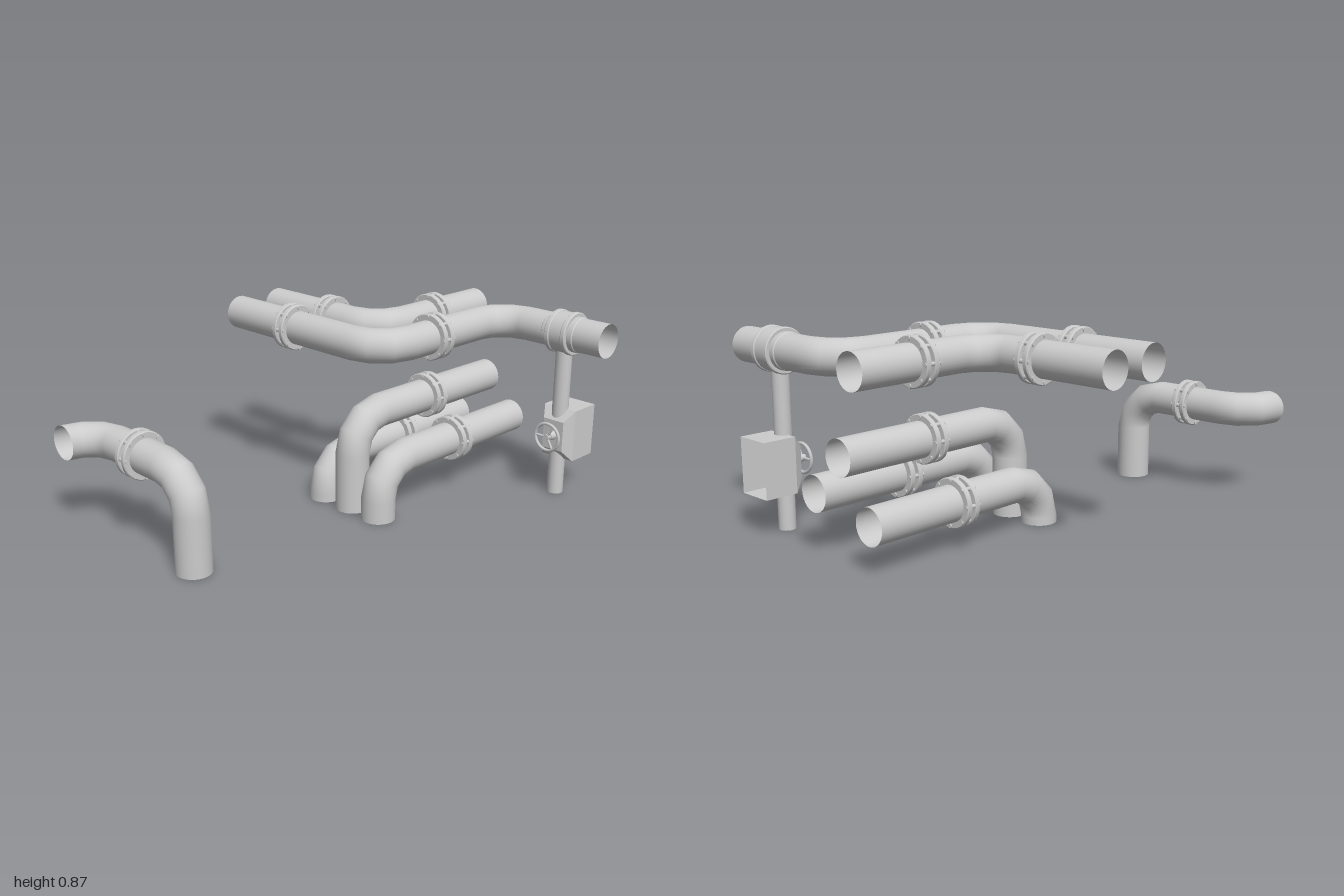
import * as THREE from 'three';

const MAT = new THREE.MeshStandardMaterial({ color: 0xcccccc, side: THREE.DoubleSide });
const R = 0.076, BEND = 0.16, SIDES = 28, BEND_STEPS = 3;
const V = (x, y, z) => new THREE.Vector3(x, y, z);

function add(parent, name, geometry, x = 0, y = 0, z = 0) {
  const mesh = new THREE.Mesh(geometry, MAT);
  mesh.name = name;
  mesh.position.set(x, y, z);
  parent.add(mesh);
  return mesh;
}

// Open pipe through corner points, each corner replaced by a coarse quarter bend
function pipeGeometry(corners) {
  const dirs = corners.slice(1).map((p, i) => p.clone().sub(corners[i]).normalize());
  const t = dirs[0].clone();
  const u = Math.abs(t.y) > 0.5 ? V(1, 0, 0) : V(0, 1, 0);
  const pos = [], nor = [], idx = [];
  let rings = 0;
  const ring = (c) => {
    const v = t.clone().cross(u);
    for (let j = 0; j <= SIDES; j++) {
      const a = (j / SIDES) * Math.PI * 2;
      const n = u.clone().multiplyScalar(Math.cos(a)).addScaledVector(v, Math.sin(a));
      pos.push(...c.clone().addScaledVector(n, R).toArray());
      nor.push(...n.toArray());
    }
    rings++;
  };
  ring(corners[0]);
  for (let k = 1; k < dirs.length; k++) {
    const axis = dirs[k - 1].clone().cross(dirs[k]).normalize();
    const centre = corners[k].clone().addScaledVector(dirs[k - 1], -BEND).addScaledVector(dirs[k], BEND);
    const step = Math.PI / 2 / BEND_STEPS;
    for (let s = 0; s <= BEND_STEPS; s++) {
      if (s > 0) {
        t.applyAxisAngle(axis, step);
        u.applyAxisAngle(axis, step);
      }
      const arm = dirs[k].clone().multiplyScalar(-BEND).applyAxisAngle(axis, s * step);
      ring(centre.clone().add(arm));
    }
  }
  ring(corners[corners.length - 1]);
  const w = SIDES + 1;
  for (let i = 0; i < rings - 1; i++) {
    for (let j = 0; j < SIDES; j++) {
      const a = i * w + j;
      idx.push(a, a + 1, a + w, a + 1, a + w + 1, a + w);
    }
  }
  const g = new THREE.BufferGeometry();
  g.setAttribute('position', new THREE.Float32BufferAttribute(pos, 3));
  g.setAttribute('normal', new THREE.Float32BufferAttribute(nor, 3));
  g.setIndex(idx);
  return g;
}

// Bevelled ring around the y axis
function discGeometry(r, h) {
  const b = 0.004, y = h / 2, inner = R - 0.002;
  const shape = new THREE.Shape([[inner, -y], [r - b, -y], [r, -y + b], [r, y - b], [r - b, y], [inner, y]]
    .map(p => new THREE.Vector2(...p)));
  const pts = shape.getPoints();
  // each band separate, so that the edges stay sharp
  return pts.slice(1).map((p, i) => new THREE.LatheGeometry([pts[i], p], 32));
}

function disc(parent, name, r, h, y) {
  discGeometry(r, h).forEach(g => add(parent, name, g, 0, y, 0));
}

// Pair of bolted discs, turned so that its axis follows dir
function flange(parent, at, dir) {
  const g = new THREE.Group();
  g.name = 'flange';
  for (const s of [-1, 1]) disc(g, 'flangeDisc', 0.104, 0.024, s * 0.021);
  disc(g, 'gasket', 0.083, 0.02, 0);
  for (let i = 0; i < 8; i++) {
    const a = (i / 8) * Math.PI * 2;
    add(g, 'bolt', new THREE.CylinderGeometry(0.009, 0.009, 0.076, 8), Math.cos(a) * 0.092, 0, Math.sin(a) * 0.092);
  }
  g.quaternion.setFromUnitVectors(V(0, 1, 0), dir);
  g.position.copy(at);
  parent.add(g);
}

// Housing open at the back, tapering to a smaller front face
function housingGeometry() {
  const loop = (x, y, z) => [V(-x, -y, z), V(x, -y, z), V(x, y, z), V(-x, y, z)];
  const loops = [loop(0.083, 0.12, -0.15), loop(0.083, 0.12, 0), loop(0.053, 0.07, 0.046)];
  const tris = [];
  const quad = (a, b, c, d) => tris.push(a, b, c, a, c, d);
  for (let i = 0; i < 2; i++) {
    for (let j = 0; j < 4; j++) {
      const k = (j + 1) % 4;
      quad(loops[i][j], loops[i][k], loops[i + 1][k], loops[i + 1][j]);
    }
  }
  quad(...loops[2]);
  const g = new THREE.BufferGeometry().setFromPoints(tris);
  g.computeVertexNormals();
  return g;
}

export function createModel() {
  const model = new THREE.Group();
  model.name = 'pipework';
  const X = V(1, 0, 0), Z = V(0, 0, 1);
  const run = (name, corners, flanges) => {
    const g = new THREE.Group();
    g.name = name;
    add(g, 'pipe', pipeGeometry(corners));
    flanges.forEach(([p, d]) => flange(g, p, d));
    model.add(g);
  };

  // Upper pipes
  const top = 0.763;
  run('upperBackPipe', [V(-0.757, top, -0.288), V(-0.08, top, -0.288), V(-0.08, top, -0.977)],
    [[V(-0.376, top, -0.288), X], [V(-0.08, top, -0.657), Z]]);
  run('upperFrontPipe', [V(-0.757, top, -0.055), V(0.169, top, -0.055), V(0.169, top, -0.855), V(0.757, top, -0.855)],
    [[V(-0.376, top, -0.055), X], [V(0.169, top, -0.38), Z]]);

  // Lower pipes rising from the floor and turning to the back
  for (const [x, y] of [[-0.16, 0.192], [0.012, 0.423], [0.172, 0.252]]) {
    run('lowerPipe', [V(x, 0, -0.045), V(x, y, -0.045), V(x, y, -0.973)], [[V(x, y, -0.53), Z]]);
  }

  // Separate pipe at the front
  run('frontPipe', [V(0.012, 0, 0.84), V(0.012, 0.408, 0.84), V(-0.643, 0.408, 0.84), V(-0.643, 0.408, 1.0)],
    [[V(-0.315, 0.408, 0.84), X]]);

  // Coupling over the thin drop pipe
  const coupling = new THREE.Group();
  coupling.name = 'coupling';
  disc(coupling, 'sleeve', 0.08, 0.164, 0);
  disc(coupling, 'couplingBody', 0.092, 0.1, 0);
  for (const s of [-1, 1]) disc(coupling, 'couplingRing', 0.097, 0.024, s * 0.042);
  coupling.rotation.z = Math.PI / 2;
  coupling.position.set(0.54, top, -0.855);
  model.add(coupling);

  // Drop pipe with valve
  const valve = new THREE.Group();
  valve.name = 'valve';
  valve.position.set(0.54, 0.29, -0.85);
  model.add(valve);
  add(valve, 'dropPipe', new THREE.CylinderGeometry(0.037, 0.037, 0.72, 24, 1, true), 0, 0.07, 0);
  add(valve, 'housing', housingGeometry());
  add(valve, 'stem', new THREE.CylinderGeometry(0.018, 0.024, 0.035, 16).rotateX(Math.PI / 2), 0, 0, 0.06);
  add(valve, 'hub', new THREE.CylinderGeometry(0.014, 0.014, 0.03, 16).rotateX(Math.PI / 2), 0, 0, 0.085);
  add(valve, 'handwheel', new THREE.TorusGeometry(0.063, 0.0075, 8, 32), 0, 0, 0.09);
  for (let i = 0; i < 3; i++) {
    const spoke = new THREE.CylinderGeometry(0.006, 0.006, 0.06, 8).translate(0, 0.032, 0);
    add(valve, 'spoke', spoke, 0, 0, 0.09).rotation.z = Math.PI / 2 + (i * Math.PI * 2) / 3;
  }
  return model;
}
